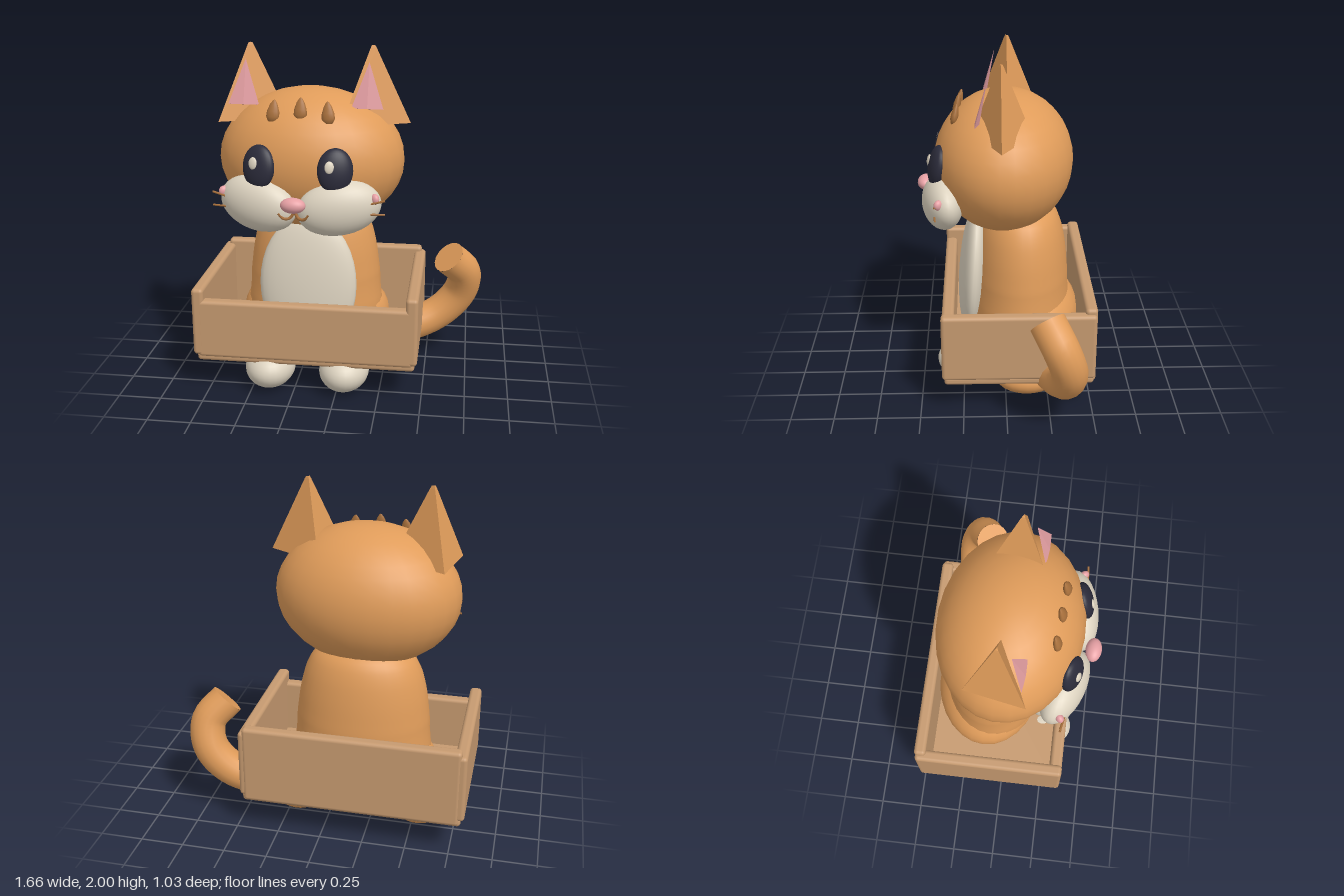
import * as THREE from 'three';
import { RoundedBoxGeometry } from 'three/addons/geometries/RoundedBoxGeometry.js';
import { ConvexGeometry } from 'three/addons/geometries/ConvexGeometry.js';

const mat = (name, color) => {
  const m = new THREE.MeshStandardMaterial({ color });
  m.name = name;
  return m;
};

export function createModel() {
  const fur = mat('orange fur', 0xe09c5a);
  const cream = mat('cream fur', 0xddd3c0);
  const stripe = mat('brown stripe', 0xa8703c);
  const wood = mat('cardboard', 0xc69a70);
  const dark = mat('dark eye', 0x2b2b3a);
  const pink = mat('pink', 0xe6a0a4);

  const model = new THREE.Group();
  model.name = 'catInBox';
  const CX = -0.175; // middle of the cat and the box

  const add = (parent, name, geo, material, pos = [0, 0, 0], rot = [0, 0, 0]) => {
    const m = new THREE.Mesh(geo, material);
    m.name = name;
    m.position.set(...pos);
    m.rotation.set(...rot);
    parent.add(m);
    return m;
  };
  const ball = (parent, name, material, pos, radii, rot) => {
    const g = new THREE.SphereGeometry(1, 28, 18).scale(...radii);
    return add(parent, name, g, material, pos, rot);
  };
  const tube = (parent, name, material, pts, r, segs = 12, sides = 6) =>
    add(parent, name, new THREE.TubeGeometry(
      new THREE.CatmullRomCurve3(pts.map(p => new THREE.Vector3(...p))), segs, r, sides), material);

  // Open box
  const box = new THREE.Group();
  box.name = 'box';
  model.add(box);
  const panel = (name, x0, x1, y0, y1, z0, z1) =>
    add(box, name, new RoundedBoxGeometry(x1 - x0, y1 - y0, z1 - z0, 3, 0.022), wood,
      [(x0 + x1) / 2, (y0 + y1) / 2, (z0 + z1) / 2]);
  panel('boxFloor', -0.81, 0.46, 0.19, 0.245, -0.505, 0.36);
  panel('boxFront', -0.8, 0.45, 0.22, 0.57, 0.3, 0.372);
  panel('boxBack', -0.8, 0.45, 0.2, 0.67, -0.515, -0.445);
  panel('boxRightSide', -0.83, -0.76, 0.23, 0.64, -0.51, 0.372);
  panel('boxLeftSide', 0.405, 0.475, 0.23, 0.64, -0.51, 0.372);

  // Body
  const body = new THREE.Group();
  body.name = 'body';
  model.add(body);
  ball(body, 'hips', fur, [CX, 0.36, -0.13], [0.45, 0.27, 0.33]);
  const profile = [[0, 0.25], [0.38, 0.3], [0.395, 0.57], [0.385, 0.7], [0.365, 0.83],
    [0.33, 0.95], [0.27, 1.04], [0.15, 1.1], [0, 1.12]].map(p => new THREE.Vector2(...p));
  const torso = new THREE.LatheGeometry(new THREE.SplineCurve(profile).getPoints(28)
    .map(p => new THREE.Vector2(Math.max(p.x, 0), p.y)), 32);
  add(body, 'torso', torso.scale(1, 1, 0.74), fur, [CX, 0, -0.1]);
  ball(body, 'belly', cream, [CX, 0.64, 0.19], [0.283, 0.41, 0.085], [-0.08, 0, 0]);
  for (const [s, side] of [[1, 'left'], [-1, 'right']]) {
    ball(body, side + 'FrontPaw', cream, [CX - 0.005 + s * 0.22, 0.125, 0.225], [0.147, 0.122, 0.187]);
    ball(body, side + 'BackPaw', fur, [CX + s * 0.375, 0.112, -0.14], [0.17, 0.105, 0.21], [0, s * 0.2, 0]);
  }

  // Tail with a flat cut end
  const tail = tube(body, 'tail', fur, [[0.05, 0.24, -0.18], [0.36, 0.21, -0.26], [0.57, 0.285, -0.325],
    [0.7, 0.43, -0.335], [0.72, 0.58, -0.285], [0.625, 0.695, -0.215]], 0.103, 40, 18);
  const path = tail.geometry.parameters.path;
  const cap = add(body, 'tailEnd', new THREE.CircleGeometry(0.103, 18), fur, path.getPoint(1).toArray());
  cap.quaternion.setFromUnitVectors(new THREE.Vector3(0, 0, 1), path.getTangent(1));

  // Head, turned slightly
  const head = new THREE.Group();
  head.name = 'head';
  head.position.set(CX, 1.355, 0);
  head.rotation.y = -0.07;
  model.add(head);
  ball(head, 'skull', fur, [0, 0, 0], [0.537, 0.407, 0.407]);

  const earPoint = (x, y, z) => new THREE.Vector3(x, y, z);
  const earCorners = [[0.215, -0.015], [-0.15, 0.17], [-0.11, -0.17]];
  for (const [s, side] of [[1, 'left'], [-1, 'right']]) {
    // Three-sided ear with a blunt tip
    const ear = new ConvexGeometry(earCorners.flatMap(([x, z]) => [
      earPoint(x, 0, z), earPoint(x * 0.09, 0.415, z * 0.09), earPoint(x * 0.05, 0.43, z * 0.05)]));
    add(head, side + 'Ear', ear, fur, [s * 0.352, 0.215, 0]);
    const inner = new ConvexGeometry([earPoint(-0.09, 0, 0), earPoint(0.09, 0, 0),
      earPoint(0, 0, -0.02), earPoint(0, 0.255, -0.01), earPoint(0, 0, 0.006)]);
    add(head, side + 'InnerEar', inner, pink, [s * 0.352 - 0.008, 0.315, 0.138], [-0.22, 0, 0]);

    // Eye and highlight
    ball(head, side + 'Eye', dark, [s * 0.213, 0.02, 0.372], [0.098, 0.122, 0.048], [-0.2, s * 0.28, 0]);
    ball(head, side + 'EyeShine', cream, [s * 0.213 - 0.022, 0.047, s > 0 ? 0.418 : 0.408],
      [0.026, 0.034, 0.012], [-0.2, s * 0.28, 0]);

    // Cheek, blush and whiskers
    ball(head, side + 'Cheek', cream, [s * 0.228, -0.195, 0.345], [0.235, 0.155, 0.115], [0, s * 0.26, s * 0.15]);
    ball(head, side + 'Blush', pink, [s * 0.425, -0.135, 0.345], [0.022, 0.03, 0.03], [0, s * 0.8, 0]);
    for (const [i, y] of [[0, -0.15], [1, -0.215]]) {
      tube(head, side + 'Whisker' + (i + 1), stripe, [[s * 0.38, y - (i ? 0 : 0.012), 0.375],
        [s * 0.485, y + (i ? 0 : 0.012), 0.36]], 0.006, 2);
    }

    // Half of the mouth
    tube(head, side + 'Mouth', stripe, [[0, -0.205, 0.435], [s * 0.025, -0.24, 0.44],
      [s * 0.06, -0.24, 0.452], [s * 0.085, -0.21, 0.458]], 0.009, 14);
  }
  ball(head, 'nose', pink, [0, -0.16, 0.468], [0.07, 0.043, 0.046]);

  // Teardrop forehead marks
  const drop = [[0, -0.062], [0.024, -0.055], [0.037, -0.03], [0.035, 0], [0.022, 0.038], [0.008, 0.06], [0, 0.065]]
    .map(p => new THREE.Vector2(...p));
  for (const i of [-1, 0, 1]) {
    add(head, 'foreheadMark' + (i + 2), new THREE.LatheGeometry(drop, 16).scale(1, 1, 0.6), stripe,
      [i * 0.153, i ? 0.308 : 0.325, 0.268], [-0.2, 0, i * 0.08]);
  }
  return model;
}
